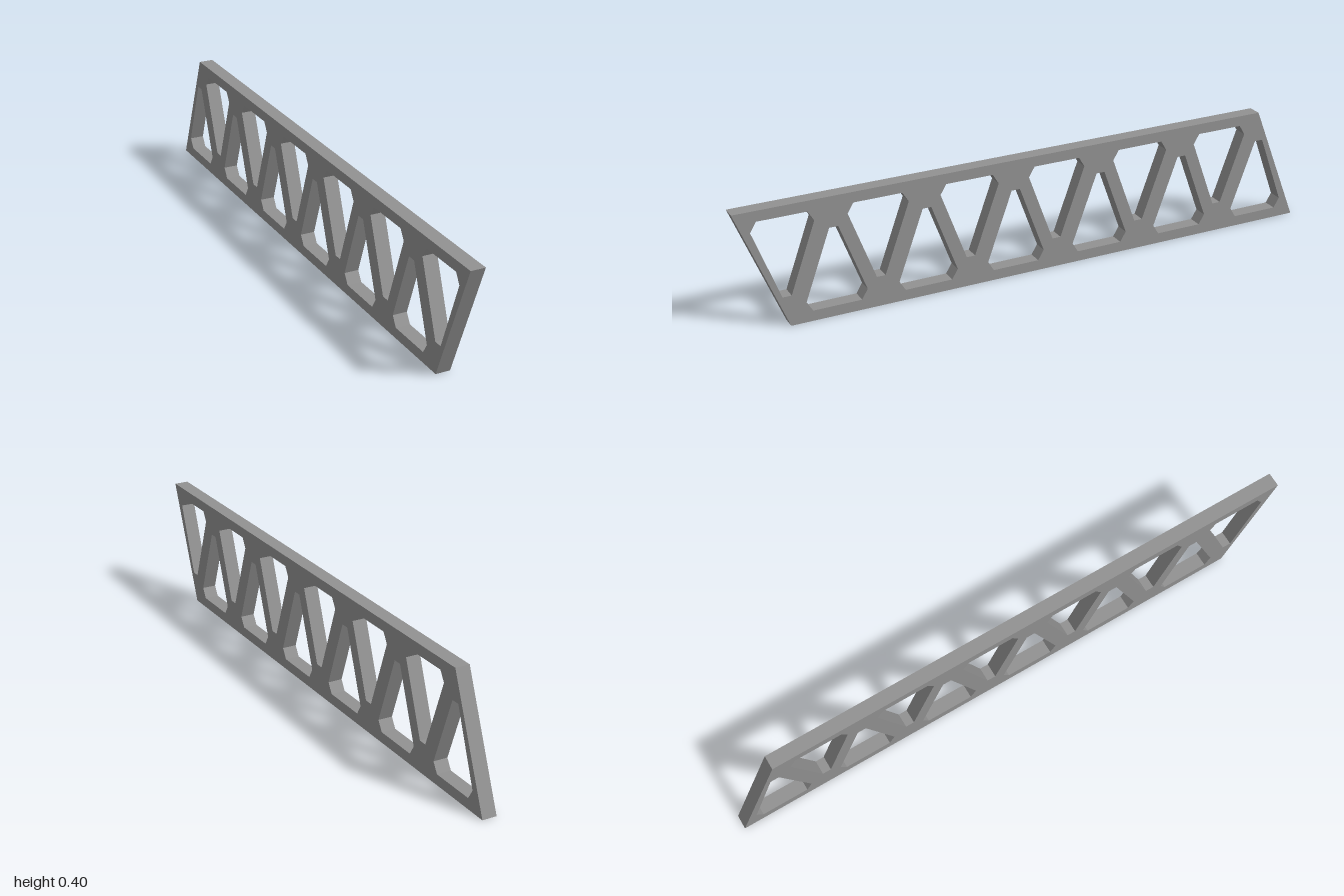
import * as THREE from 'three';

const HEIGHT = 0.403, THICKNESS = 0.048, BAYS = 6;
const LEAN = 0.16; // how far each slanted end leans
const PITCH = (2 - LEAN) / BAYS; // length of one bay

// Tapered cut-out with clipped corners: [half width, distance from the chord]
const CUTOUT = [[0.08, 0.035], [0.1, 0.068], [0.0145, 0.301], [-0.0145, 0.301], [-0.1, 0.068], [-0.08, 0.035]];

function cutout(z, inverted) {
  return new THREE.Path(CUTOUT.map(([w, d]) =>
    new THREE.Vector2(z + w, inverted ? HEIGHT - d : d)));
}

export function createModel() {
  const model = new THREE.Group();
  model.name = 'trussPanel';

  // Leaning parallelogram, drawn with the length as the shape's x
  const shape = new THREE.Shape([
    new THREE.Vector2(-1, 0),
    new THREE.Vector2(1 - LEAN, 0),
    new THREE.Vector2(1, HEIGHT),
    new THREE.Vector2(-1 + LEAN, HEIGHT),
  ]);

  // Alternating openings leave the diagonal braces between the chords
  for (let i = 0; i < BAYS; i++) {
    const z = 1 - (i + 0.5) * PITCH;
    shape.holes.push(cutout(z, true), cutout(-z, false));
  }

  const geometry = new THREE.ExtrudeGeometry(shape, { depth: THICKNESS, bevelEnabled: false });
  geometry.translate(0, 0, -THICKNESS / 2);
  geometry.rotateY(-Math.PI / 2); // length runs along z

  const truss = new THREE.Mesh(geometry, new THREE.MeshStandardMaterial({ color: 0x929292, flatShading: true }));
  truss.name = 'truss';
  model.add(truss);
  return model;
}
